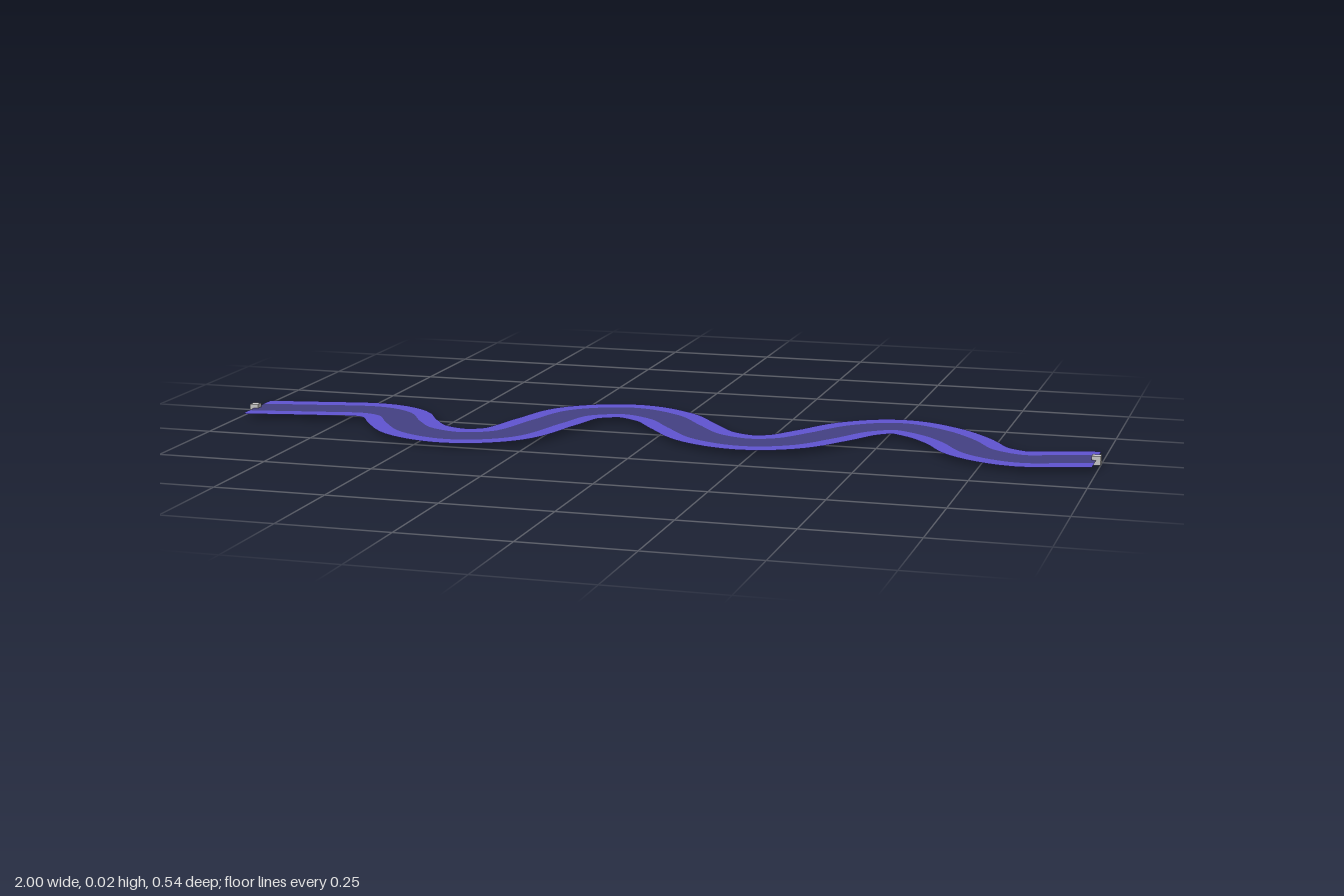
import * as THREE from 'three';

const Y = 0.012, HALF = 0.08, INNER = 0.039, STEPS = 160;

// Centre line of the river as [x, z]
const PATH = [
  [-0.99, 0.017], [-0.85, -0.01], [-0.71, -0.03], [-0.645, 0.0], [-0.595, 0.075], [-0.53, 0.15],
  [-0.425, 0.183], [-0.33, 0.135], [-0.277, -0.02], [-0.235, -0.135], [-0.13, -0.187],
  [-0.03, -0.143], [0.04, -0.058], [0.12, 0.032], [0.22, 0.067], [0.3, 0.035], [0.365, -0.05],
  [0.43, -0.148], [0.51, -0.193], [0.6, -0.152], [0.67, -0.08], [0.735, 0.015], [0.83, 0.06],
  [0.91, 0.04], [0.99, 0.017],
];

export function createModel() {
  const group = new THREE.Group();
  const bankMat = new THREE.MeshStandardMaterial({ name: 'violet', color: 0x5f54d0, side: THREE.DoubleSide });
  const streamMat = new THREE.MeshStandardMaterial({ name: 'dark indigo', color: 0x444083, side: THREE.DoubleSide });
  const markerMat = new THREE.MeshStandardMaterial({ name: 'light grey', color: 0xcccccc });

  const curve = new THREE.CatmullRomCurve3(PATH.map(([x, z]) => new THREE.Vector3(x, Y, z)), false, 'centripetal');

  // Flat strip between two sideways offsets from the centre line
  function strip(name, from, to, material) {
    const pos = [], normals = [], index = [];
    for (let i = 0; i <= STEPS; i++) {
      const p = curve.getPointAt(i / STEPS), t = curve.getTangentAt(i / STEPS);
      if (i === 0 || i === STEPS) t.set(1, 0, 0); // square ends
      for (const d of [from, to]) {
        pos.push(THREE.MathUtils.clamp(p.x - t.z * d, -0.99, 0.99), Y, p.z + t.x * d);
        normals.push(0, 1, 0);
      }
      if (i < STEPS) {
        const a = i * 2;
        index.push(a, a + 1, a + 2, a + 1, a + 3, a + 2);
      }
    }
    const geo = new THREE.BufferGeometry();
    geo.setAttribute('position', new THREE.Float32BufferAttribute(pos, 3));
    geo.setAttribute('normal', new THREE.Float32BufferAttribute(normals, 3));
    geo.setIndex(index);
    const mesh = new THREE.Mesh(geo, material);
    mesh.name = name;
    group.add(mesh);
  }
  strip('backBand', -HALF, -INNER, bankMat);
  strip('centreBand', -INNER, INNER, streamMat);
  strip('frontBand', INNER, HALF, bankMat);

  // Small cube at each end
  for (const [name, side] of [['leftEndCube', 1], ['rightEndCube', -1]]) {
    const cube = new THREE.Mesh(new THREE.BoxGeometry(0.02, 0.02, 0.02), markerMat);
    cube.name = name;
    cube.position.set(side * 0.99, 0.01 + 0.001, 0.02);
    group.add(cube);
  }
  return group;
}
